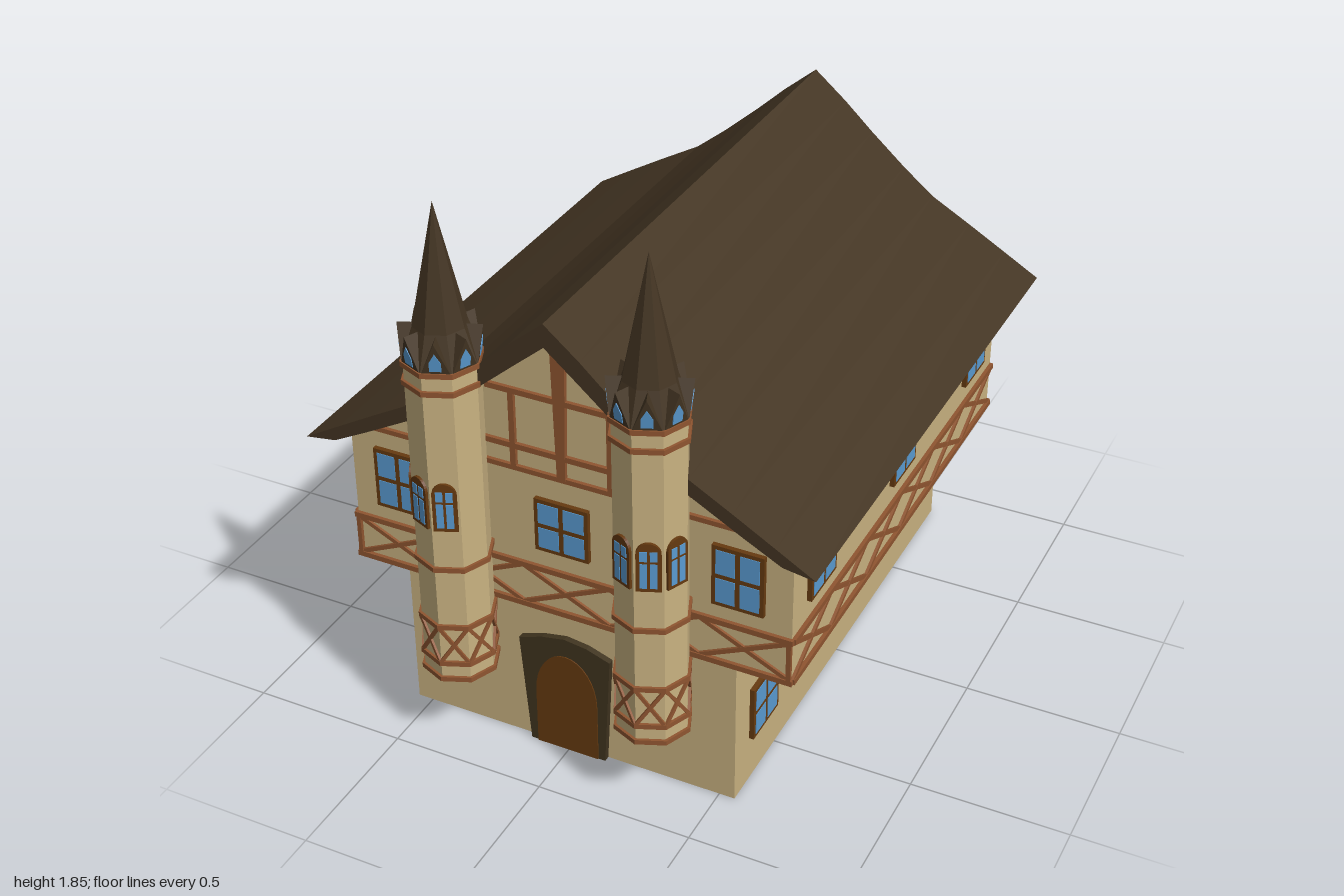
import * as THREE from 'three';

const mat = (name, color, extra) => Object.assign(new THREE.MeshStandardMaterial({ color }), { name }, extra);
const PLASTER = mat('plaster', 0xc9b281);
const ROOF = mat('roofShingle', 0x443523);
const TIMBER = mat('timber', 0x8f5530);
const FRAME = mat('darkWood', 0x663a10);
const GLASS = mat('glass', 0x5a9bd2);
const STONE = mat('doorStone', 0x40341f);

const FRONT = 0.79, BACK = -0.875;

function add(parent, name, geo, material, x = 0, y = 0, z = 0) {
  const m = new THREE.Mesh(geo, material);
  m.name = name;
  m.position.set(x, y, z);
  parent.add(m);
  return m;
}
function box(parent, name, material, w, h, d, x, y, z) {
  return add(parent, name, new THREE.BoxGeometry(w, h, d), material, x, y, z);
}
function group(parent, name) {
  const g = new THREE.Group();
  g.name = name;
  parent.add(g);
  return g;
}
const shapeOf = pts => new THREE.Shape(pts.map(p => new THREE.Vector2(p[0], p[1])));
const extrude = (shape, depth) =>
  new THREE.ExtrudeGeometry(shape, { depth, bevelEnabled: false, curveSegments: 8 });

// Straight timber between two points of a facade plane
function beam(parent, x1, y1, x2, y2, w = 0.018, d = 0.012) {
  const len = Math.hypot(x2 - x1, y2 - y1);
  const m = box(parent, 'timberBeam', TIMBER, len, w, d, (x1 + x2) / 2, (y1 + y2) / 2, d / 2);
  m.rotation.z = Math.atan2(y2 - y1, x2 - x1);
}
// Row of crossed braces between two heights
function crosses(parent, x1, x2, y1, y2, n, w, d) {
  const s = (x2 - x1) / n;
  for (let i = 0; i < n; i++) {
    const a = x1 + i * s;
    beam(parent, a, y1, a + s, y2, w, d);
    beam(parent, a, y2, a + s, y1, w, d * 0.9);
  }
}
// Four-pane window on a facade plane
function paneWindow(parent, x, y, w, h) {
  const g = group(parent, 'window');
  g.position.set(x, y, 0);
  box(g, 'windowFrame', FRAME, w, h, 0.015, 0, 0, 0.0075);
  const t = 0.013, b = 0.016, pw = (w - 2 * t - b) / 2, ph = (h - 2 * t - b) / 2;
  for (const i of [-1, 1]) for (const j of [-1, 1])
    box(g, 'windowPane', GLASS, pw, ph, 0.003, i * (pw + b) / 2, j * (ph + b) / 2, 0.0155);
}
// Round-topped outline
function archShape(halfW, y0, spring, rise) {
  const s = new THREE.Shape();
  s.moveTo(-halfW, y0);
  s.lineTo(halfW, y0);
  s.lineTo(halfW, spring);
  s.absellipse(0, spring, halfW, rise, 0, Math.PI, false);
  s.closePath();
  return s;
}

function buildTower(parent, side) {
  const t = group(parent, side > 0 ? 'leftTower' : 'rightTower');
  t.position.set(side * 0.325, 0, 0.878);
  const R = 0.112, apothem = R * Math.cos(Math.PI / 8);
  add(t, 'towerShaft', new THREE.CylinderGeometry(R, R, 1.07, 8).toNonIndexed(), PLASTER, 0, 0.825, 0)
    .geometry.computeVertexNormals();
  for (const y of [0.297, 0.355, 0.49, 0.70, 1.30, 1.36]) {
    const ring = new THREE.CylinderGeometry(0.121, 0.121, 0.016, 8).toNonIndexed();
    ring.computeVertexNormals();
    add(t, 'towerRing', ring, TIMBER, 0, y, 0);
  }
  // Spire: steep octagonal cone with a slightly flared foot
  const spire = new THREE.LatheGeometry(
    [[0, 1.362], [0.116, 1.364], [0.08, 1.47], [0, 1.845]].map(p => new THREE.Vector2(...p)), 8).toNonIndexed();
  spire.computeVertexNormals();
  add(t, 'spire', spire, ROOF);

  const lean = geo => {
    const p = geo.attributes.position;
    for (let i = 0; i < p.count; i++) p.setZ(i, p.getZ(i) + (p.getY(i) - 1.36) * 0.13);
    geo.computeVertexNormals();
    return geo;
  };
  for (let k = 0; k < 8; k++) {
    const face = group(t, 'towerFace');
    const deg = 22.5 + 45 * k;
    face.rotation.y = THREE.MathUtils.degToRad(deg);
    // Small dormer leaning out of the spire foot
    const dormer = extrude(shapeOf([[-0.041, 1.366], [0.041, 1.366], [0, 1.468]]), 0.065);
    add(face, 'spireDormer', lean(dormer.translate(0, 0, 0.042)), ROOF);
    const pane = extrude(shapeOf([[-0.017, 1.376], [0.017, 1.376], [0.017, 1.405], [0, 1.435], [-0.017, 1.405]]), 0.003);
    add(face, 'dormerPane', lean(pane.translate(0, 0, 0.1065)), GLASS);
    // Braces round the tower foot
    const panel = group(face, 'towerFacePanel');
    panel.position.z = apothem;
    crosses(panel, -0.042, 0.042, 0.36, 0.485, 1, 0.011, 0.008);
    // Arched windows on the front and outer faces
    if ([22.5, 337.5, side > 0 ? 67.5 : 292.5].includes(deg)) {
      add(panel, 'archedFrame', extrude(archShape(0.036, 0.84, 0.965, 0.037), 0.009), FRAME);
      for (const x of [-0.0145, 0.0145]) {
        box(panel, 'archedPane', GLASS, 0.021, 0.082, 0.003, x, 0.893, 0.0095);
        box(panel, 'archedPaneTop', GLASS, 0.021, 0.033, 0.003, x, 0.959, 0.0095);
      }
    }
  }
}

export function createModel() {
  const model = new THREE.Group();
  model.name = 'timberedHouse';

  // Walls: ground floor, then a wider upper floor with the gable
  box(model, 'groundFloor', PLASTER, 1.1, 0.5, FRONT - BACK, 0, 0.25, (FRONT + BACK) / 2);
  const under = [[0.72, 0.965], [0.6, 1.028], [0.436, 1.118], [0.32, 1.2], [0.21, 1.29], [0.1, 1.385], [0, 1.47]];
  const over = [[0.82, 0.95], [0.7, 1.02], [0.57, 1.095], [0.436, 1.17], [0.33, 1.255], [0.21, 1.36], [0.11, 1.453], [0, 1.545]];
  const mirrorBack = pts => pts.slice(0, -1).reverse().map(([x, y]) => [-x, y]);
  const upper = [[-0.72, 0.5], [0.72, 0.5], ...under, ...mirrorBack(under)];
  add(model, 'upperFloor', extrude(shapeOf(upper), FRONT - BACK), PLASTER, 0, 0, BACK);

  // Swept roof slab
  const lower = [...under].reverse().concat([]);
  const roof = [...over, ...mirrorBack(over), ...mirrorBack(lower.slice().reverse()).reverse(), ...lower];
  add(model, 'roof', extrude(shapeOf(roof), 1.875), ROOF, 0, 0, -1);

  // Front facade
  const front = group(model, 'frontFacade');
  front.position.z = FRONT;
  for (const y of [0.508, 0.652]) beam(front, -0.727, y, 0.727, y);
  crosses(front, -0.72, 0.72, 0.512, 0.648, 5, 0.014, 0.009);
  for (const s of [-1, 1]) {
    beam(front, s * 0.715, 0.51, s * 0.715, 0.65, 0.014);
    beam(front, s * 0.157, 0.99, s * 0.157, 1.25, 0.018);
    paneWindow(front, s * 0.556, 0.818, 0.162, 0.205);
  }
  beam(front, -0.66, 0.99, 0.66, 0.99, 0.016);
  beam(front, -0.53, 1.065, 0.53, 1.065);
  beam(front, -0.24, 1.25, 0.24, 1.25);
  add(front, 'gablePost', extrude(shapeOf(
    [[-0.013, 0.99], [0.013, 0.99], [0.024, 1.44], [0, 1.47], [-0.024, 1.44]]), 0.014), TIMBER);
  paneWindow(front, -0.005, 0.815, 0.176, 0.18);

  // Doorway
  add(front, 'doorSurround', extrude(shapeOf([[-0.13, 0], [0.125, 0], [0.147, 0.385], [0.07, 0.412],
    [-0.005, 0.422], [-0.08, 0.408], [-0.16, 0.38]]), 0.02), STONE);
  add(front, 'door', extrude(archShape(0.104, 0, 0.2, 0.158), 0.004), FRAME, -0.002, 0, 0.0195);

  // Long sides
  for (const s of [-1, 1]) {
    const high = group(model, s > 0 ? 'leftUpperSide' : 'rightUpperSide');
    const low = group(model, s > 0 ? 'leftLowerSide' : 'rightLowerSide');
    high.position.x = s * 0.72;
    low.position.x = s * 0.55;
    high.rotation.y = low.rotation.y = s * Math.PI / 2;
    const a = -s * FRONT, b = -s * BACK;
    for (const y of [0.508, 0.652]) beam(high, Math.min(a, b), y, Math.max(a, b), y);
    crosses(high, Math.min(a, b), Math.max(a, b), 0.512, 0.648, 6, 0.014, 0.009);
    for (const z of [0.6, -0.035, -0.673]) {
      paneWindow(high, -s * z, 0.818, 0.18, 0.18);
      paneWindow(low, -s * z, 0.25, 0.18, 0.185);
    }
  }

  for (const s of [-1, 1]) buildTower(model, s);
  return model;
}
